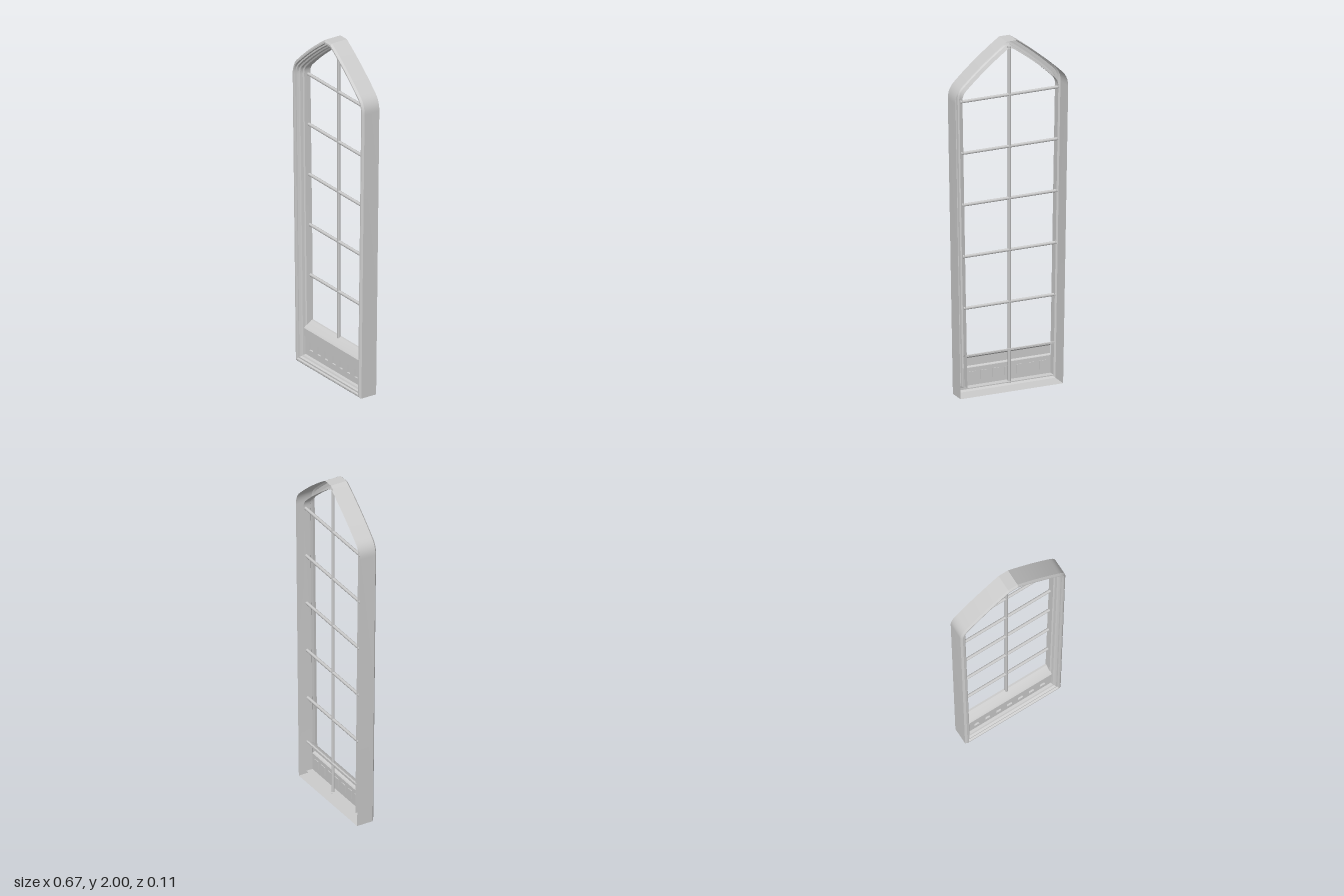
import * as THREE from 'three';
import { toCreasedNormals } from 'three/addons/utils/BufferGeometryUtils.js';

const material = new THREE.MeshStandardMaterial({ color: 0xcccccc, side: THREE.DoubleSide });

function addMesh(parent, geometry, name, x = 0, y = 0, z = 0) {
  const mesh = new THREE.Mesh(geometry, material);
  mesh.name = name;
  mesh.position.set(x, y, z);
  parent.add(mesh);
  return mesh;
}

// Joins rows of points into a creased surface
function gridSurface(rows, closed) {
  const positions = [];
  const last = closed ? rows.length : rows.length - 1;
  for (let i = 0; i < last; i++) {
    const p = rows[i], q = rows[(i + 1) % rows.length];
    for (let j = 0; j < p.length - 1; j++) {
      for (const v of [p[j], q[j], q[j + 1], p[j], q[j + 1], p[j + 1]]) positions.push(...v);
    }
  }
  const geometry = new THREE.BufferGeometry();
  geometry.setAttribute('position', new THREE.Float32BufferAttribute(positions, 3));
  return toCreasedNormals(geometry, 0.4);
}

// Counter-clockwise pointed outline, slightly wider at the shoulders
function outline() {
  const shoulder = new THREE.QuadraticBezierCurve(
    new THREE.Vector2(0.335, 1.69), new THREE.Vector2(0.337, 1.75), new THREE.Vector2(0.29, 1.79)).getPoints(6);
  const arch = new THREE.QuadraticBezierCurve(
    new THREE.Vector2(0.29, 1.79), new THREE.Vector2(0.17, 1.905), new THREE.Vector2(0.03, 2.0)).getPoints(8);
  const half = [new THREE.Vector2(0.305, 0), ...shoulder, ...arch.slice(1)];
  const mirrored = half.map((p) => new THREE.Vector2(-p.x, p.y)).reverse();
  return [...half, ...mirrored];
}

// Moulded frame: [inset, z] section swept round the outline with mitred corners
function frameGeometry() {
  const section = [
    [0, -0.054], [0, 0.043], [0.01, 0.053], [0.018, 0.053], [0.021, 0.042], [0.029, 0.042],
    [0.033, 0.03], [0.041, 0.026], [0.043, 0.01], [0.05, 0.005], [0.05, -0.036],
  ];
  const path = outline();
  const n = path.length;
  const inward = (a, b) => new THREE.Vector2(a.y - b.y, b.x - a.x).normalize();
  const rows = path.map((p, i) => {
    const n1 = inward(path[(i + n - 1) % n], p);
    const n2 = inward(p, path[(i + 1) % n]);
    const mitre = n1.clone().add(n2).divideScalar(1 + n1.dot(n2));
    return section.map(([inset, z]) => [p.x + mitre.x * inset, p.y + mitre.y * inset, z]);
  });
  return gridSurface(rows, true);
}

function rectPath(target, x0, y0, x1, y1) {
  target.moveTo(x0, y0);
  target.lineTo(x1, y0);
  target.lineTo(x1, y1);
  target.lineTo(x0, y1);
  target.closePath();
  return target;
}

// Low panel with a row of shallow recesses under a sloping ledge
function createPanel() {
  const group = new THREE.Group();
  group.name = 'lowerPanel';
  const halfWidth = 0.262;

  const plate = rectPath(new THREE.Shape(), -halfWidth, 0.045, halfWidth, 0.15);
  const recessXs = [];
  for (let i = -3; i <= 3; i++) recessXs.push(i * 0.07);
  for (const x of recessXs) plate.holes.push(rectPath(new THREE.Path(), x - 0.016, 0.08, x + 0.016, 0.125));
  addMesh(group, new THREE.ExtrudeGeometry(plate, { depth: 0.01, bevelEnabled: false }), 'panelPlate', 0, 0, 0.002);
  for (const x of recessXs) {
    addMesh(group, new THREE.BoxGeometry(0.038, 0.051, 0.004), 'recessBack', x, 0.1025, 0);
  }

  // Ledge as [y, z] points
  const ledge = [[0.15, 0.012], [0.155, 0.022], [0.2, 0.022], [0.21, 0.014], [0.237, -0.026], [0.237, -0.036], [0.228, -0.036]];
  const rows = [-halfWidth, halfWidth].map((x) => ledge.map(([y, z]) => [x, y, z]));
  addMesh(group, gridSurface(rows, false), 'panelLedge');
  return group;
}

export function createModel() {
  const model = new THREE.Group();
  model.name = 'archedWindow';
  addMesh(model, frameGeometry(), 'frame');
  model.add(createPanel());

  // Glazing bars
  const barZ = -0.022, radius = 0.009;
  addMesh(model, new THREE.CylinderGeometry(radius, radius, 1.92, 8), 'verticalBar', 0, 1.0, barZ);
  for (let i = 0; i < 5; i++) {
    const y = 0.503 + i * 0.2955;
    const length = 2 * (0.263 + 0.03 * y / 1.69);
    const bar = addMesh(model, new THREE.CylinderGeometry(radius, radius, length, 8), 'horizontalBar', 0, y, barZ);
    bar.rotation.z = Math.PI / 2;
  }
  return model;
}
